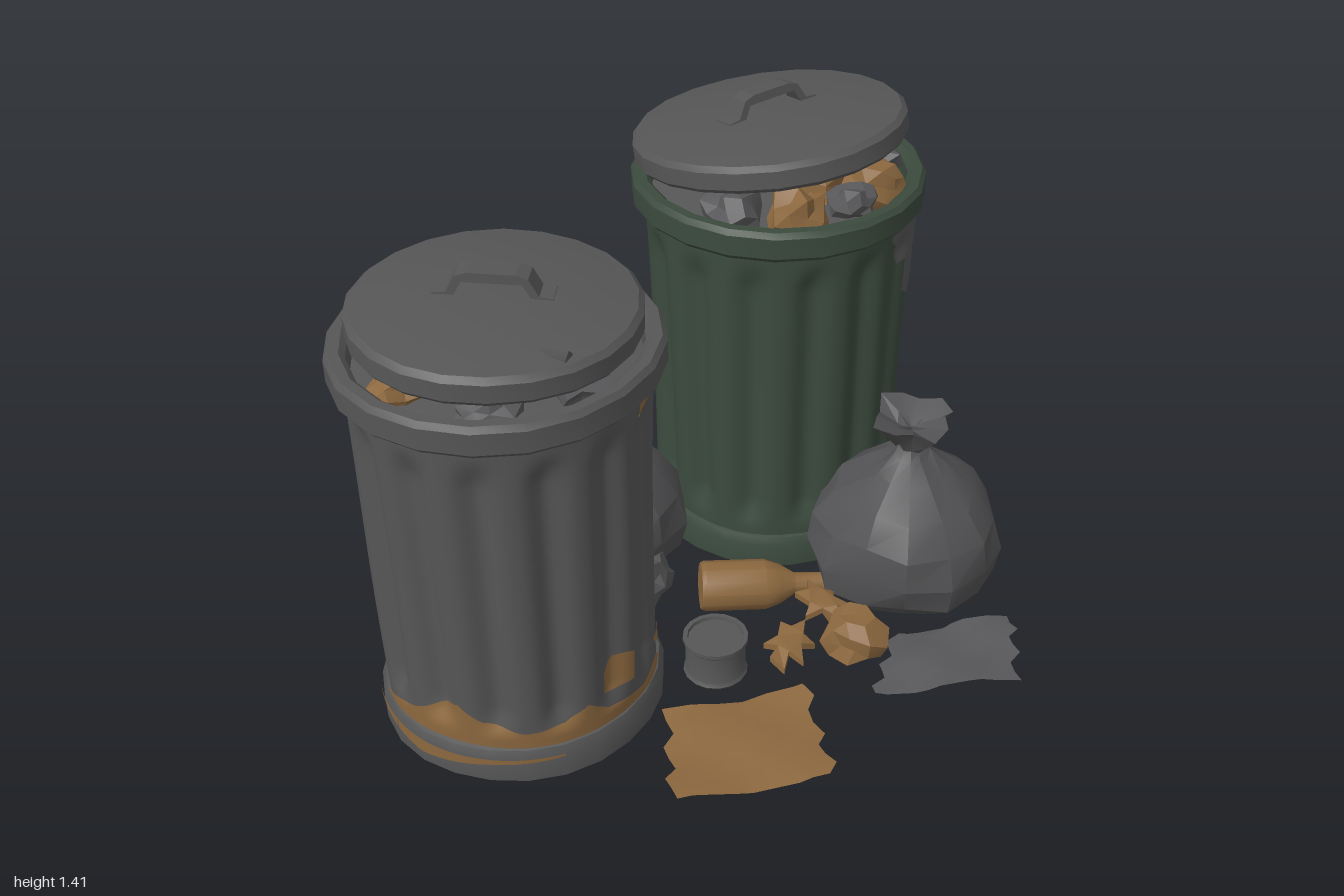
import * as THREE from 'three';
import { mergeVertices, toCreasedNormals } from 'three/addons/utils/BufferGeometryUtils.js';

const paint = (name, color, side = THREE.FrontSide) => {
  const m = new THREE.MeshStandardMaterial({ color, side });
  m.name = name;
  return m;
};
const V = (x, y, z) => new THREE.Vector3(x, y, z);
const D = Math.PI / 180;
const wob = (a, y, s) => 0.5 * Math.sin(3 * a + s + 6 * y) + 0.5 * Math.sin(5 * a - 2 * s + 11 * y);
const lerp = THREE.MathUtils.lerp, step = THREE.MathUtils.smoothstep;

// Grid surface from a point function of u and v in 0..1
function sheet(nu, nv, fn) {
  const pos = [], idx = [], w = nu + 1;
  for (let j = 0; j <= nv; j++) for (let i = 0; i <= nu; i++) pos.push(...fn(i / nu, j / nv));
  for (let j = 0; j < nv; j++) for (let i = 0; i < nu; i++) {
    const a = j * w + i;
    idx.push(a, a + 1, a + w + 1, a, a + w + 1, a + w);
  }
  let g = new THREE.BufferGeometry();
  g.setAttribute('position', new THREE.Float32BufferAttribute(pos, 3));
  g.setIndex(idx);
  g = mergeVertices(g, 1e-4);
  g.computeVertexNormals();
  return g;
}

// Turned part with a slight dented wobble
function lathe(profile, sides, dent = 0, seed = 1) {
  const g = new THREE.LatheGeometry(profile.map(p => new THREE.Vector2(...p)), sides);
  const p = g.attributes.position;
  for (let i = 0; i < p.count; i++) {
    const x = p.getX(i), z = p.getZ(i), r = Math.hypot(x, z);
    const k = 1 + dent * wob(Math.atan2(x, z), 0, seed);
    p.setXYZ(i, x * k, p.getY(i) + dent * 0.6 * r * Math.sin(2 * Math.atan2(x, z) + seed), z * k);
  }
  return toCreasedNormals(g, 0.6);
}

// Fluted wall: radius at angle a and height y
function wallRadius(a, y, seed) {
  const window = step(y, 0.17, 0.24) * (1 - step(y, 1.0, 1.08));
  const groove = Math.pow(0.5 + 0.5 * Math.cos(14 * a + seed), 1.6);
  return lerp(0.366, 0.392, y / 1.12) - 0.028 * groove * window + 0.006 * wob(a, y * 0.4, seed);
}

export function createModel() {
  const grey = paint('grey metal', 0x565656), green = paint('green metal', 0x3c4b3e);
  const bagGrey = paint('bag plastic', 0x525254, THREE.DoubleSide);
  const paperGrey = paint('grey paper', 0x58585a, THREE.DoubleSide);
  const brown = paint('brown waste', 0x8c683f, THREE.DoubleSide);
  const root = new THREE.Group();
  const add = (name, geo, mat, parent = root, at = [0, 0, 0]) => {
    const m = new THREE.Mesh(geo, mat);
    m.name = name;
    m.position.set(...at);
    parent.add(m);
    return m;
  };

  // Crumpled lump
  function crumple(name, mat, parent, at, size, seed) {
    const g = mergeVertices(new THREE.IcosahedronGeometry(1, 1).deleteAttribute('normal').deleteAttribute('uv'), 1e-3);
    const p = g.attributes.position;
    for (let i = 0; i < p.count; i++) {
      const h = Math.abs(Math.sin((i + 1) * 12.99 + seed * 7.3) * 437.58) % 1, k = 0.65 + 0.5 * h;
      p.setXYZ(i, p.getX(i) * size[0] * k, p.getY(i) * size[1] * k, p.getZ(i) * size[2] * k);
    }
    return add(name, toCreasedNormals(g, 0.3), mat, parent, at);
  }

  // Worn patch hugging a wall; columns are [degrees, low y, high y]
  function patch(name, cols, mat, parent, radius) {
    const a0 = cols[0][0], a1 = cols[cols.length - 1][0];
    add(name, sheet(Math.max(4, Math.ceil((a1 - a0) / 2)), 8, (u, v) => {
      const deg = lerp(a0, a1, u);
      let k = 0;
      while (k < cols.length - 2 && deg > cols[k + 1][0]) k++;
      const [c, d] = [cols[k], cols[k + 1]], t = (deg - c[0]) / (d[0] - c[0]);
      const y = lerp(lerp(c[1], d[1], t), lerp(c[2], d[2], t), v), r = radius(deg * D, y) + 0.005;
      return [r * Math.sin(deg * D), y, r * Math.cos(deg * D)];
    }), mat, parent);
  }

  // Bin: foot, fluted wall, rim and fill
  function bin(name, x, mat, seed) {
    const g = new THREE.Group();
    g.name = name;
    g.position.set(x, 0, -0.28);
    root.add(g);
    add('foot', lathe([[0, 0.02], [0.375, 0.02], [0.39, 0.035], [0.392, 0.11], [0.38, 0.135], [0.35, 0.145]], 24, 0.012, seed), mat, g);
    add('wall', sheet(168, 28, (u, v) => {
      const a = u * 2 * Math.PI, y = lerp(0.12, 1.13, v), r = wallRadius(a, y, seed);
      return [r * Math.sin(a), y, r * Math.cos(a)];
    }), mat, g);
    add('rim', lathe([[0.38, 1.11], [0.41, 1.11], [0.424, 1.125], [0.424, 1.185], [0.412, 1.2], [0.385, 1.2], [0.37, 1.185], [0.365, 1.12]], 20, 0.006, seed), mat, g);
    add('fill', lathe([[0.37, 1.13], [0.2, 1.15], [0, 1.16]], 20), grey, g);
    return g;
  }

  // Lid with rolled edge and bracket handle
  function lid(name, r, at, tilt, handleTurn, seed) {
    const g = new THREE.Group();
    g.name = name;
    g.position.set(...at);
    g.rotation.set(...tilt);
    root.add(g);
    add('cover', lathe([[0, 0.01], [r - 0.04, 0.01], [r - 0.03, 0], [r - 0.01, 0], [r, 0.012], [r, 0.06], [r - 0.015, 0.075],
      [r - 0.05, 0.08], [r - 0.08, 0.085], [0.18, 0.098], [0, 0.102]], 22, 0.008, seed), grey, g);
    const s = new THREE.Shape([[-0.15, 0], [-0.15, 0.012], [-0.115, 0.016], [-0.09, 0.062], [-0.06, 0.072], [0.06, 0.072], [0.09, 0.062],
      [0.115, 0.016], [0.15, 0.012], [0.15, 0], [0.1, 0], [0.075, 0.046], [-0.075, 0.046], [-0.1, 0]].map(p => new THREE.Vector2(...p)));
    const h = new THREE.ExtrudeGeometry(s, { depth: 0.065, bevelEnabled: false }).translate(0, 0, -0.0325);
    add('handle', h, grey, g, [0, 0.09, 0]).rotation.y = handleTurn;
    return g;
  }

  // Grey bin with rust
  const a = bin('greyBin', -0.575, grey, 1);
  const ra = (t, y) => wallRadius(t, y, 1), foot = () => 0.391;
  patch('rustLow', [[-120, 0.14, 0.15], [-95, 0.14, 0.2], [-72, 0.14, 0.27], [-62, 0.14, 0.22], [-45, 0.14, 0.19], [-28, 0.14, 0.2],
    [-18, 0.14, 0.24], [-8, 0.14, 0.19], [14, 0.14, 0.17], [30, 0.14, 0.19], [38, 0.14, 0.15]], brown, a, ra);
  patch('rustPatch', [[-8, 0.23, 0.3], [-3, 0.22, 0.34], [3, 0.23, 0.34], [7, 0.23, 0.33]], brown, a, ra);
  patch('rustSpot', [[29, 0.24, 0.25], [33, 0.22, 0.27], [38, 0.23, 0.26]], brown, a, ra);
  patch('rustSpot', [[15, 1.06, 1.08], [18, 1.03, 1.1], [22, 1.04, 1.1], [24, 1.07, 1.09]], brown, a, ra);
  patch('rustFoot', [[-125, 0.11, 0.12], [-90, 0.07, 0.115], [-60, 0.1, 0.118], [-30, 0.11, 0.118]], brown, a, foot);
  const lidA = lid('greyLid', 0.37, [-0.57, 1.215, -0.28], [0.01, 0, -0.02], -56 * D, 2);
  // Split fold near the lid edge
  add('foldedSplit', new THREE.ConeGeometry(0.02, 0.16, 4), grey, lidA, [-0.11, 0.082, 0.25]).rotation.set(-Math.PI / 2, 0, 0.25);

  // Green bin with bare metal and rust
  const b = bin('greenBin', 0.578, green, 3);
  const rb = (t, y) => wallRadius(t, y, 3);
  patch('bareTop', [[2, 1.07, 1.11], [9, 1.03, 1.11], [16, 0.95, 1.11], [24, 0.97, 1.11], [32, 1.04, 1.11], [44, 1.07, 1.1]], grey, b, rb);
  patch('bareLow', [[32, 0.14, 0.16], [37, 0.14, 0.28], [42, 0.14, 0.44], [49, 0.14, 0.45], [52, 0.14, 0.3], [57, 0.14, 0.35],
    [64, 0.14, 0.34], [68, 0.14, 0.2], [80, 0.14, 0.17], [100, 0.14, 0.16]], grey, b, rb);
  patch('bareSpot', [[20, 0.85, 0.98], [24, 0.83, 1.0], [28, 0.88, 0.94]], grey, b, rb);
  patch('bareBack', [[140, 0.14, 0.15], [150, 0.14, 0.21], [158, 0.14, 0.18], [170, 0.14, 0.15]], grey, b, rb);
  patch('bareBack', [[215, 0.14, 0.15], [225, 0.14, 0.2], [235, 0.14, 0.15]], grey, b, rb);
  patch('rustLow', [[40, 0.145, 0.25], [45, 0.145, 0.27], [50, 0.145, 0.2], [56, 0.145, 0.16]], brown, b, (t, y) => rb(t, y) + 0.003);
  lid('greenBinLid', 0.395, [0.585, 1.258, -0.315], [-0.155, 0, 0], -17 * D, 4);

  // Waste under the lids: [degrees, radius, y, size, brown?]
  [[-42, 0.28, 1.19, 0.1, 1], [-10, 0.3, 1.2, 0.075, 0], [18, 0.28, 1.19, 0.1, 1], [45, 0.28, 1.2, 0.09, 0], [70, 0.27, 1.18, 0.1, 1],
    [100, 0.28, 1.16, 0.08, 1], [-80, 0.27, 1.18, 0.09, 0], [0, 0.12, 1.19, 0.11, 1]].forEach(([t, r, y, s, c], i) =>
    crumple('waste', c ? brown : paperGrey, b, [r * Math.sin(t * D), y, r * Math.cos(t * D)], [s, s * 0.75, s], i));
  for (let i = 0; i < 7; i++) {
    const t = i * 0.9;
    crumple('waste', i % 2 ? brown : paperGrey, a, [0.27 * Math.sin(t), 1.165, 0.27 * Math.cos(t)], [0.1, 0.05, 0.08], i + 20);
  }

  // Tied rubbish bags
  const prof = [[0, 0.02], [0.19, 0.02], [0.265, 0.09], [0.285, 0.18], [0.265, 0.28], [0.205, 0.37], [0.12, 0.44],
    [0.06, 0.49], [0.045, 0.515], [0.075, 0.56], [0.115, 0.61], [0.05, 0.585], [0, 0.56]];
  for (const [x, z, seed] of [[0.49, 0.28, 1.3], [-0.01, -0.525, 4.1]]) {
    add('rubbishBag', toCreasedNormals(sheet(13, prof.length - 1, (u, v) => {
      const k = Math.round(v * (prof.length - 1)), t = (u % 1) * 2 * Math.PI, [r, y] = prof[k];
      const q = r * (1 + (k > 8 ? 0.2 * Math.cos(4 * t + seed) : 0.07 * wob(t, y, seed)));
      return [q * Math.sin(t), y + (k > 1 ? 0.015 * wob(t, y, seed + 2) : 0), q * Math.cos(t)];
    }), 0.42), bagGrey, root, [x, 0, z]);
  }

  // Loose sheets of paper, corners as [x, z]
  function paper(name, c, mat, seed) {
    add(name, sheet(8, 8, (u, v) => {
      const p = k => lerp(lerp(c[0][k], c[1][k], u), lerp(c[3][k], c[2][k], u), v);
      const edge = 0.012 * Math.sin(17 * (u + v) + seed);
      return [p(0) + edge, 0.032 + 0.014 * Math.sin(7 * u + seed) * Math.cos(6 * v), p(1) + edge];
    }), mat);
  }
  paper('brownSheet', [[-0.67, 0.34], [-0.33, 0.62], [-0.1, 0.35], [-0.42, 0.11]], brown, 1);
  paper('greySheet', [[0, 0.52], [0.3, 0.8], [0.53, 0.64], [0.24, 0.42]], paperGrey, 3);

  // Lying bottle
  const bottle = add('bottle', lathe([[0, 0], [0.07, 0], [0.075, 0.012], [0.075, 0.19], [0.06, 0.235], [0.032, 0.28], [0.03, 0.36],
    [0.036, 0.365], [0.036, 0.39], [0, 0.39]], 12), brown, root, [0.0, 0.095, -0.11]);
  bottle.quaternion.setFromUnitVectors(V(0, 1, 0), V(0.7, -0.05, 0.7).normalize());

  // Tin can and a small grey scrap
  add('can', lathe([[0, 0.02], [0.085, 0.02], [0.092, 0.03], [0.086, 0.04], [0.086, 0.13], [0.093, 0.138], [0.093, 0.15],
    [0.08, 0.15], [0.078, 0.14], [0, 0.14]], 16), grey, root, [-0.19, 0, 0.1]);
  crumple('greyScrap', paperGrey, root, [-0.1, 0.13, -0.21], [0.075, 0.1, 0.045], 5);

  // Crumpled ball and torn brown scraps
  crumple('crumpledBall', brown, root, [0.11, 0.105, 0.375], [0.105, 0.09, 0.105], 9);
  for (const [x, z, turn, lift] of [[-0.01, 0.23, 0.2, 0.02], [0.165, 0.215, 1.1, 0.05]]) {
    const s = new THREE.Shape([[-0.1, -0.03], [-0.05, -0.02], [-0.06, -0.07], [0, -0.035], [0.04, -0.06], [0.045, -0.02], [0.1, 0],
      [0.05, 0.02], [0.06, 0.06], [0, 0.04], [-0.03, 0.07], [-0.04, 0.02], [-0.09, 0.02]].map(p => new THREE.Vector2(...p)));
    const g = new THREE.ExtrudeGeometry(s, { depth: 0.02, bevelEnabled: false }).rotateX(-Math.PI / 2);
    const p = g.attributes.position;
    for (let i = 0; i < p.count; i++) p.setY(i, p.getY(i) + 0.03 * Math.abs(Math.sin(40 * p.getX(i) + 25 * p.getZ(i))));
    g.computeVertexNormals();
    add('tornScrap', g, brown, root, [x, 0.015 + lift, z]).rotation.y = turn;
  }
  return root;
}
